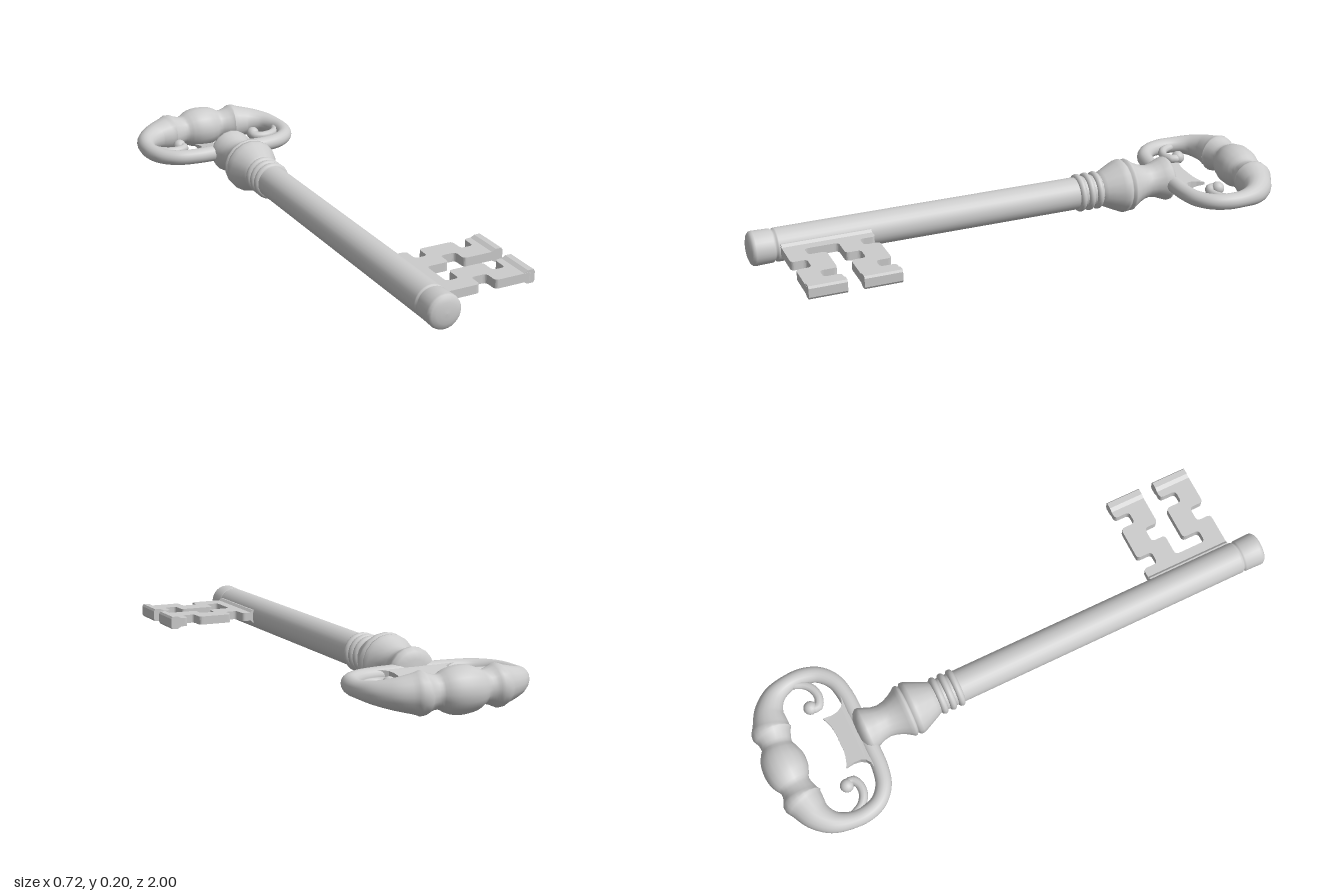
import * as THREE from 'three';

const V2 = (p) => new THREE.Vector2(p[0], p[1]);

// Turned part along z; profile rows are [radius, z] in ascending z
function turned(profile, sides) {
  return new THREE.LatheGeometry(profile.map(V2), sides).rotateX(Math.PI / 2);
}

// Round bar of changing thickness along a flat path; rows are [x, z, radius]
function sweptBar(rows, closed, steps, sides) {
  const curve = new THREE.CatmullRomCurve3(
    rows.map(([x, z, r]) => new THREE.Vector3(x, r, z)), closed, 'centripetal');
  const rings = closed ? steps : steps + 1;
  const pos = [], idx = [];
  for (let i = 0; i < rings; i++) {
    const p = curve.getPointAt(i / steps), t = curve.getTangentAt(i / steps);
    const len = Math.hypot(t.x, t.z);
    const nx = -t.z / len, nz = t.x / len;
    for (let j = 0; j < sides; j++) {
      const a = (j / sides) * Math.PI * 2, c = Math.cos(a) * p.y;
      pos.push(p.x + nx * c, Math.sin(a) * p.y, p.z + nz * c);
    }
  }
  for (let i = 0; i < steps; i++) {
    const k = (i + 1) % rings;
    for (let j = 0; j < sides; j++) {
      const m = (j + 1) % sides;
      const a = i * sides + j, b = k * sides + j, c = k * sides + m, d = i * sides + m;
      idx.push(a, b, d, b, c, d);
    }
  }
  const g = new THREE.BufferGeometry();
  g.setAttribute('position', new THREE.Float32BufferAttribute(pos, 3));
  g.setIndex(idx);
  g.computeVertexNormals();
  return g;
}

// Polygon with softened corners
function roundedShape(points, radius) {
  const pts = points.map(V2), n = pts.length, shape = new THREE.Shape();
  pts.forEach((p, i) => {
    const prev = pts[(i + n - 1) % n], next = pts[(i + 1) % n];
    const a = p.clone().add(prev.clone().sub(p).setLength(radius));
    const b = p.clone().add(next.clone().sub(p).setLength(radius));
    if (i) shape.lineTo(a.x, a.y); else shape.moveTo(a.x, a.y);
    shape.quadraticCurveTo(p.x, p.y, b.x, b.y);
  });
  shape.closePath();
  return shape;
}

// Flat plate lying in the xz plane, centred on y = 0
function plate(shape, thickness) {
  return new THREE.ExtrudeGeometry(shape, { depth: thickness, bevelEnabled: false, curveSegments: 5 })
    .translate(0, 0, -thickness / 2).rotateX(Math.PI / 2);
}

// Straight strip along z from an xy cross-section
function strip(section, z, length) {
  return new THREE.ExtrudeGeometry(new THREE.Shape(section.map(V2)), { depth: length, bevelEnabled: false })
    .translate(0, 0, z);
}

export function createModel() {
  const metal = new THREE.MeshStandardMaterial({ color: 0xcccccc });
  metal.name = 'grey metal';
  const model = new THREE.Group();
  model.name = 'key';
  const axis = new THREE.Group();
  axis.name = 'keyBody';
  axis.position.set(-0.044, 0.102, 0);
  model.add(axis);
  const add = (name, geometry, parent = axis) => {
    const mesh = new THREE.Mesh(geometry, metal);
    mesh.name = name;
    parent.add(mesh);
  };

  // Shaft with a domed tip behind a shallow groove
  add('shaft', turned([
    [0.058, -0.36], [0.06, -0.34], [0.06, 0.895], [0.059, 0.9], [0.055, 0.903], [0.055, 0.908],
    [0.06, 0.913], [0.061, 0.95], [0.062, 0.975], [0.06, 0.983], [0.053, 0.99], [0.038, 0.995],
    [0.02, 0.998], [0, 0.999]], 28));

  // Three rings
  for (const z of [-0.253, -0.287, -0.321]) {
    const rows = [];
    for (let i = 0; i <= 8; i++) {
      const a = (i / 8) * Math.PI;
      rows.push([0.054 + 0.017 * Math.sin(a), z - 0.014 * Math.cos(a)]);
    }
    add('ring', turned(rows, 28));
  }

  // Collar: flared cup, groove, bell and rounded neck end
  add('collar', turned([
    [0, -0.64], [0.045, -0.637], [0.07, -0.628], [0.082, -0.615], [0.083, -0.605], [0.075, -0.585],
    [0.065, -0.56], [0.061, -0.535], [0.066, -0.51], [0.077, -0.485], [0.09, -0.465], [0.098, -0.455],
    [0.098, -0.448], [0.091, -0.442], [0.091, -0.439], [0.1, -0.432], [0.1, -0.42], [0.094, -0.405],
    [0.08, -0.375], [0.068, -0.35], [0.06, -0.335], [0.05, -0.33]], 18));

  // Bow: one closed bar with swellings along its far side
  const half = [
    [0.035, -0.92, 0.076], [0.062, -0.918, 0.066], [0.08, -0.916, 0.056], [0.112, -0.913, 0.062],
    [0.138, -0.912, 0.073], [0.155, -0.908, 0.067], [0.21, -0.891, 0.053], [0.258, -0.85, 0.04],
    [0.281, -0.79, 0.031], [0.282, -0.73, 0.03], [0.262, -0.675, 0.029], [0.215, -0.635, 0.029],
    [0.15, -0.619, 0.029], [0.08, -0.617, 0.03]];
  const mirrored = half.map(([x, z, r]) => [-x, z, r]).reverse();
  add('bow', sweptBar([[0, -0.92, 0.08], ...half, [0, -0.615, 0.03], ...mirrored], true, 140, 18));

  // Inner scrolls ending in small balls
  for (const s of [1, -1]) {
    const scroll = new THREE.Group();
    scroll.name = s > 0 ? 'leftScroll' : 'rightScroll';
    axis.add(scroll);
    add('scrollBar', sweptBar([
      [s * 0.268, -0.775, 0.016], [s * 0.247, -0.735, 0.016], [s * 0.215, -0.713, 0.016],
      [s * 0.178, -0.71, 0.016], [s * 0.15, -0.727, 0.017], [s * 0.157, -0.75, 0.018]], false, 20, 10), scroll);
    add('scrollBall', new THREE.SphereGeometry(0.025, 14, 10).translate(s * 0.16, 0, -0.752), scroll);
  }

  // Horned saddle inside the bow, thinning to its free edge
  const saddle = new THREE.Shape();
  saddle.moveTo(-0.15, -0.61);
  saddle.lineTo(0.15, -0.61);
  saddle.lineTo(0.15, -0.637);
  saddle.quadraticCurveTo(0.08, -0.64, 0.102, -0.728);
  saddle.quadraticCurveTo(0.06, -0.705, 0, -0.71);
  saddle.quadraticCurveTo(-0.06, -0.705, -0.102, -0.728);
  saddle.quadraticCurveTo(-0.08, -0.64, -0.15, -0.637);
  const saddleGeometry = plate(saddle, 0.05);
  const p = saddleGeometry.attributes.position;
  for (let i = 0; i < p.count; i++) {
    const k = THREE.MathUtils.clamp((-0.62 - p.getZ(i)) / 0.1, 0, 1);
    p.setY(i, p.getY(i) * (1 - 0.8 * k));
  }
  saddleGeometry.computeVertexNormals();
  add('saddle', saddleGeometry);

  // Bit: notched plate with two toothed arms
  const bit = new THREE.Group();
  bit.name = 'bit';
  bit.position.y = 0.103;
  model.add(bit);
  add('bitPlate', plate(roundedShape([
    [-0.03, 0.566], [0.06, 0.566], [0.06, 0.624], [0.108, 0.624], [0.108, 0.566], [0.24, 0.566],
    [0.24, 0.624], [0.288, 0.624], [0.288, 0.566], [0.35, 0.566], [0.35, 0.7], [0.204, 0.7],
    [0.204, 0.646], [0.145, 0.646], [0.145, 0.7], [0.06, 0.7], [0.06, 0.822], [0.108, 0.822],
    [0.108, 0.757], [0.24, 0.757], [0.24, 0.82], [0.288, 0.82], [0.288, 0.757], [0.35, 0.757],
    [0.35, 0.892], [0.204, 0.892], [0.204, 0.836], [0.145, 0.836], [0.145, 0.892], [-0.03, 0.892]], 0.015), 0.032), bit);

  // Thickened root along the shaft
  add('bitRoot', strip([
    [-0.01, -0.025], [0.016, -0.025], [0.026, -0.015], [0.026, 0.015], [0.016, 0.025], [-0.01, 0.025]], 0.567, 0.324), bit);

  // Thickened outer lips of the two arms
  for (const z of [0.566, 0.757]) {
    add('bitLip', strip([
      [0.315, -0.016], [0.33, -0.024], [0.352, -0.024], [0.357, -0.016],
      [0.357, 0.016], [0.352, 0.024], [0.33, 0.024], [0.315, 0.016]], z, 0.134), bit);
  }
  return model;
}
